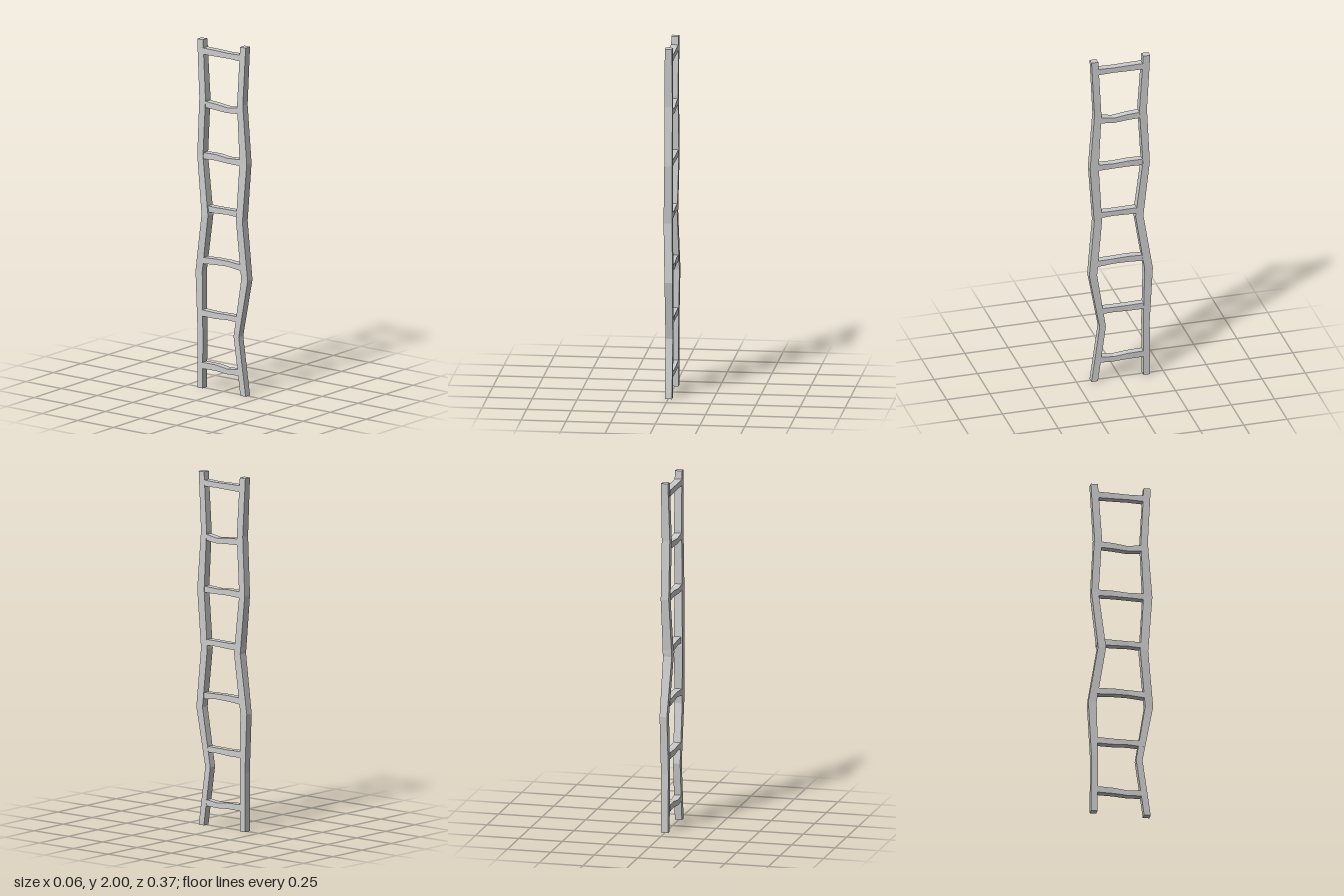
import * as THREE from 'three';

// Closed flat-faced beam through four-cornered rings (anticlockwise seen from the far end)
function beam(name, rings) {
  const pos = [], index = [];
  rings.forEach(r => r.forEach(p => pos.push(...p)));
  for (let s = 0; s < rings.length - 1; s++) {
    for (let i = 0; i < 4; i++) {
      const a = s * 4 + i, b = s * 4 + (i + 1) % 4;
      index.push(a, b, b + 4, a, b + 4, a + 4);
    }
  }
  const e = (rings.length - 1) * 4;
  index.push(0, 2, 1, 0, 3, 2, e, e + 1, e + 2, e, e + 2, e + 3);
  const indexed = new THREE.BufferGeometry();
  indexed.setAttribute('position', new THREE.Float32BufferAttribute(pos, 3));
  indexed.setIndex(index);
  const geometry = indexed.toNonIndexed();
  geometry.computeVertexNormals();
  const mesh = new THREE.Mesh(geometry, new THREE.MeshStandardMaterial({ color: 0xcccccc, flatShading: true }));
  mesh.name = name;
  return mesh;
}

// Upright rail: sections evenly spaced in height, each [zMin, zMax, xMin, xMax]
function rail(name, sections) {
  return beam(name, sections.map(([z0, z1, x0, x1], i) => {
    const y = 2 * i / (sections.length - 1);
    return [[x0, y, z1], [x1, y, z1], [x1, y, z0], [x0, y, z0]];
  }));
}

// Rung: four sections from back to front, each [yMin, yMax, xMin, xMax]
function rung(name, sections) {
  const depths = [-0.135, -0.04, 0.04, 0.135];
  return beam(name, sections.map(([y0, y1, x0, x1], i) => {
    const z = depths[i];
    return [[x0, y0, z], [x1, y0, z], [x1, y1, z], [x0, y1, z]];
  }));
}

export function createModel() {
  const group = new THREE.Group();
  group.name = 'crookedLadder';

  group.add(rail('frontRail', [
    [0.132, 0.169, -0.018, 0.022],
    [0.086, 0.122, -0.02, 0.021],
    [0.138, 0.183, -0.018, 0.026],
    [0.108, 0.153, -0.027, 0.021],
    [0.128, 0.178, -0.02, 0.024],
    [0.112, 0.152, -0.022, 0.022],
    [0.13, 0.169, -0.018, 0.022],
  ]));
  group.add(rail('backRail', [
    [-0.169, -0.132, -0.018, 0.022],
    [-0.167, -0.13, -0.02, 0.022],
    [-0.184, -0.137, -0.016, 0.026],
    [-0.131, -0.086, -0.03, 0.02],
    [-0.167, -0.127, -0.022, 0.024],
    [-0.151, -0.108, -0.024, 0.022],
    [-0.17, -0.13, -0.018, 0.022],
  ]));

  // Height, then the rise and sideways drift of the two inner sections
  const rungs = [
    [0.132, 0, -0.008, 0.002, -0.001],
    [0.433, -0.002, 0.002, -0.002, 0.001],
    [0.734, 0.006, 0.007, 0.001, 0.005],
    [1.037, -0.001, 0.002, -0.002, 0.001],
    [1.336, 0.003, -0.002, 0.002, -0.002],
    [1.634, -0.005, -0.012, -0.001, 0.002],
    [1.936, 0, 0, 0, 0],
  ];
  rungs.forEach(([y, riseBack, riseFront, driftBack, driftFront], i) => {
    const section = (rise, drift, h) => [y + rise - h, y + rise + h, -0.02 + drift, 0.021 + drift];
    group.add(rung('rung' + (i + 1), [
      section(0, 0, 0.018),
      section(riseBack, driftBack, 0.017),
      section(riseFront, driftFront, 0.015),
      section(0, 0, 0.018),
    ]));
  });
  return group;
}
